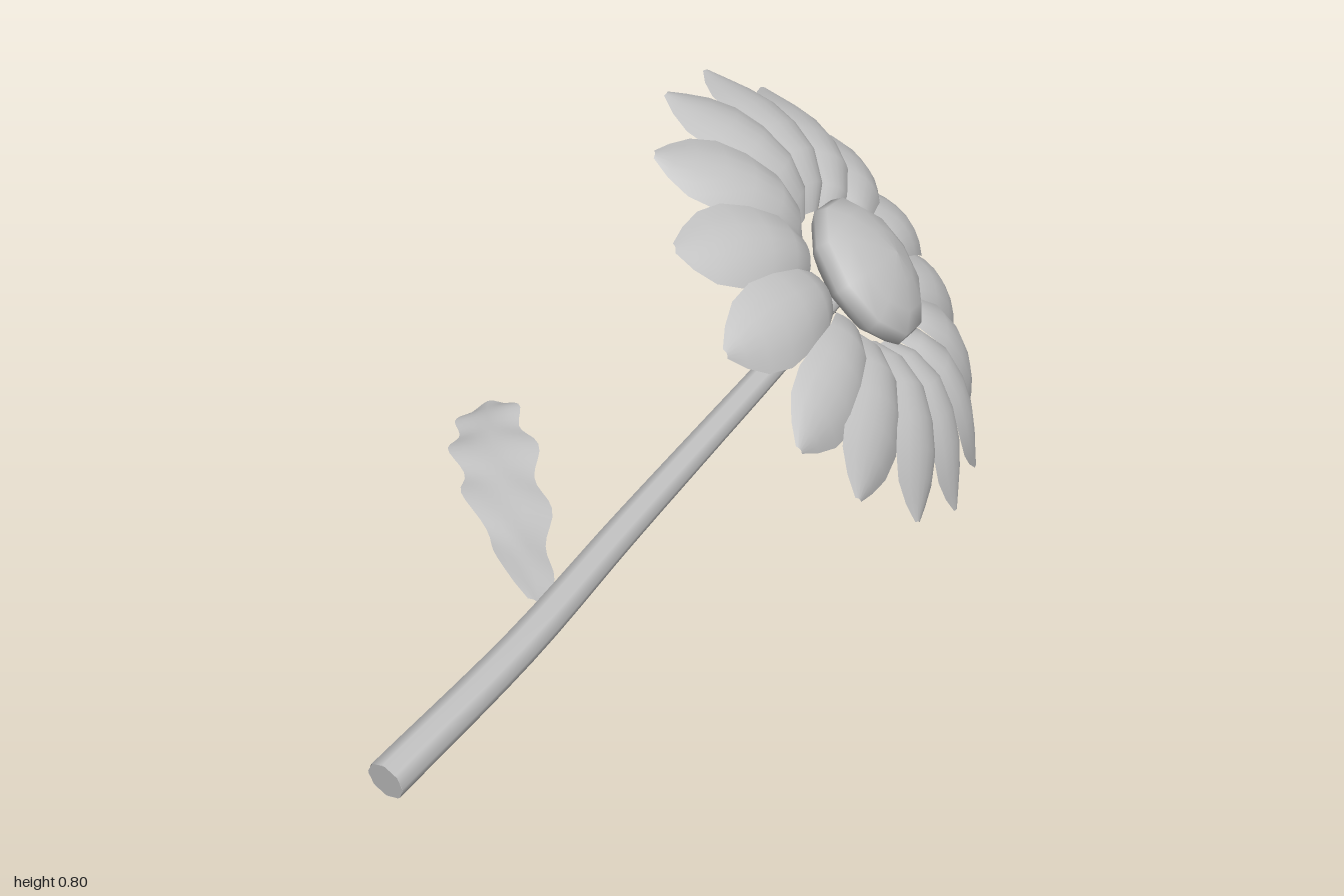
import * as THREE from 'three';

const grey = new THREE.MeshStandardMaterial({ color: 0xc0c0c0, side: THREE.DoubleSide });
grey.name = 'plain grey';

function addMesh(parent, name, geometry) {
  const mesh = new THREE.Mesh(geometry, grey);
  mesh.name = name;
  parent.add(mesh);
  return mesh;
}

// Smooth open sheet: point(i, s) gives the position on row i, s from -1 to 1 across
function sheet(rows, cols, point) {
  const pos = [], index = [];
  for (let i = 0; i < rows; i++) {
    for (let j = 0; j <= cols; j++) pos.push(...point(i, (j / cols) * 2 - 1));
  }
  for (let i = 0; i < rows - 1; i++) {
    for (let j = 0; j < cols; j++) {
      const a = i * (cols + 1) + j, b = a + cols + 1;
      index.push(a, a + 1, b, a + 1, b + 1, b);
    }
  }
  const geometry = new THREE.BufferGeometry();
  geometry.setAttribute('position', new THREE.Float32BufferAttribute(pos, 3));
  geometry.setIndex(index);
  geometry.computeVertexNormals();
  return geometry;
}

// Petal rows: distance from centre, height, half width
function petalGeometry() {
  const rows = [
    [0.15, 0.052, 0.028], [0.2, 0.088, 0.046], [0.27, 0.103, 0.066], [0.34, 0.09, 0.083],
    [0.4, 0.066, 0.091], [0.45, 0.036, 0.077], [0.49, 0.008, 0.045], [0.522, -0.014, 0.01],
  ];
  return sheet(rows.length, 6, (i, s) => {
    const [r, h, w] = rows[i];
    return [r, h - 0.33 * w * s * s + 0.08 * w * s, w * s];
  });
}

// Arched leaf with wavy edges, its height following one arch from front to back
function leafGeometry() {
  const spine = new THREE.CatmullRomCurve3([
    [-0.54, 0, 0.065], [-0.49, 0, -0.01], [-0.43, 0, -0.09],
    [-0.36, 0, -0.17], [-0.29, 0, -0.24], [-0.235, 0, -0.285],
  ].map((p) => new THREE.Vector3(...p)));
  const n = 32;
  return sheet(n + 1, 6, (i, s) => {
    const t = i / n, p = spine.getPoint(t);
    const ripple = Math.sin(t * Math.PI * 8 - 0.6);
    const w = (0.012 + 0.064 * Math.pow(Math.sin(Math.PI * Math.pow(t, 0.95)), 0.6)) *
      (1 + 0.15 * ripple);
    const z = p.z + 0.66 * w * s;
    const y = 0.43 - 2.1 * (z + 0.2) ** 2 + 0.006 * ripple * Math.abs(s);
    return [p.x + 0.75 * w * s, y, z];
  });
}

// Tapered stem swept along a curve, with end caps
function buildStem(parent) {
  const path = new THREE.CatmullRomCurve3([
    [-1, 0.197, 0.107], [-0.62, 0.248, 0.102], [-0.3, 0.293, 0.077],
    [0, 0.33, 0.054], [0.25, 0.363, 0.037], [0.48, 0.408, 0.027],
  ].map((p) => new THREE.Vector3(...p)));
  const segments = 20, sides = 8;
  const stem = new THREE.TubeGeometry(path, segments, 0.038, sides, false);
  const pos = stem.attributes.position, v = new THREE.Vector3();
  for (let i = 0; i < pos.count; i++) {
    const t = Math.floor(i / (sides + 1)) / segments;
    const c = path.getPointAt(t);
    v.fromBufferAttribute(pos, i).sub(c).multiplyScalar(1 - 0.35 * t).add(c);
    pos.setXYZ(i, v.x, v.y, v.z);
  }
  addMesh(parent, 'stem', stem);
  const ends = [['stemCutEnd', 0, 0.038, -1], ['stemTopEnd', 1, 0.0247, 1]];
  for (const [name, t, radius, dir] of ends) {
    const cap = addMesh(parent, name, new THREE.CircleGeometry(radius, sides));
    cap.position.copy(path.getPointAt(t));
    cap.quaternion.setFromUnitVectors(
      new THREE.Vector3(0, 0, 1), path.getTangentAt(t).multiplyScalar(dir));
  }
}

// Flower head, built facing +y and then tilted
function buildFlowerHead() {
  const head = new THREE.Group();
  head.name = 'flowerHead';
  const normal = new THREE.Vector3(0.326, 0.638, 0.698).normalize();
  const side = new THREE.Vector3(normal.z, 0, -normal.x).normalize();
  const down = new THREE.Vector3().crossVectors(side, normal);
  head.quaternion.setFromRotationMatrix(new THREE.Matrix4().makeBasis(side, normal, down));
  head.position.set(0.515, 0.404, -0.003);

  // Lens-shaped seed disc
  const profile = [
    [0, -0.08], [0.03, -0.06], [0.095, -0.045], [0.145, -0.02], [0.166, 0.004],
    [0.158, 0.03], [0.12, 0.058], [0.06, 0.08], [0, 0.088],
  ].map((p) => new THREE.Vector2(...p));
  const disc = addMesh(head, 'seedDisc', new THREE.LatheGeometry(profile, 10));
  disc.position.set(-0.014, 0.087, 0.005);

  // Ring of slightly uneven petals
  const petal = petalGeometry();
  const angles = [14, 36, 61, 86, 110, 135, 160, 186, 206, 229, 250, 273, 297, 321, 346];
  angles.forEach((angle, i) => {
    addMesh(head, `petal${i + 1}`, petal).rotation.y = THREE.MathUtils.degToRad(angle);
  });
  return head;
}

export function createModel() {
  const model = new THREE.Group();
  model.name = 'flower';
  buildStem(model);
  addMesh(model, 'leaf', leafGeometry());
  model.add(buildFlowerHead());
  return model;
}
